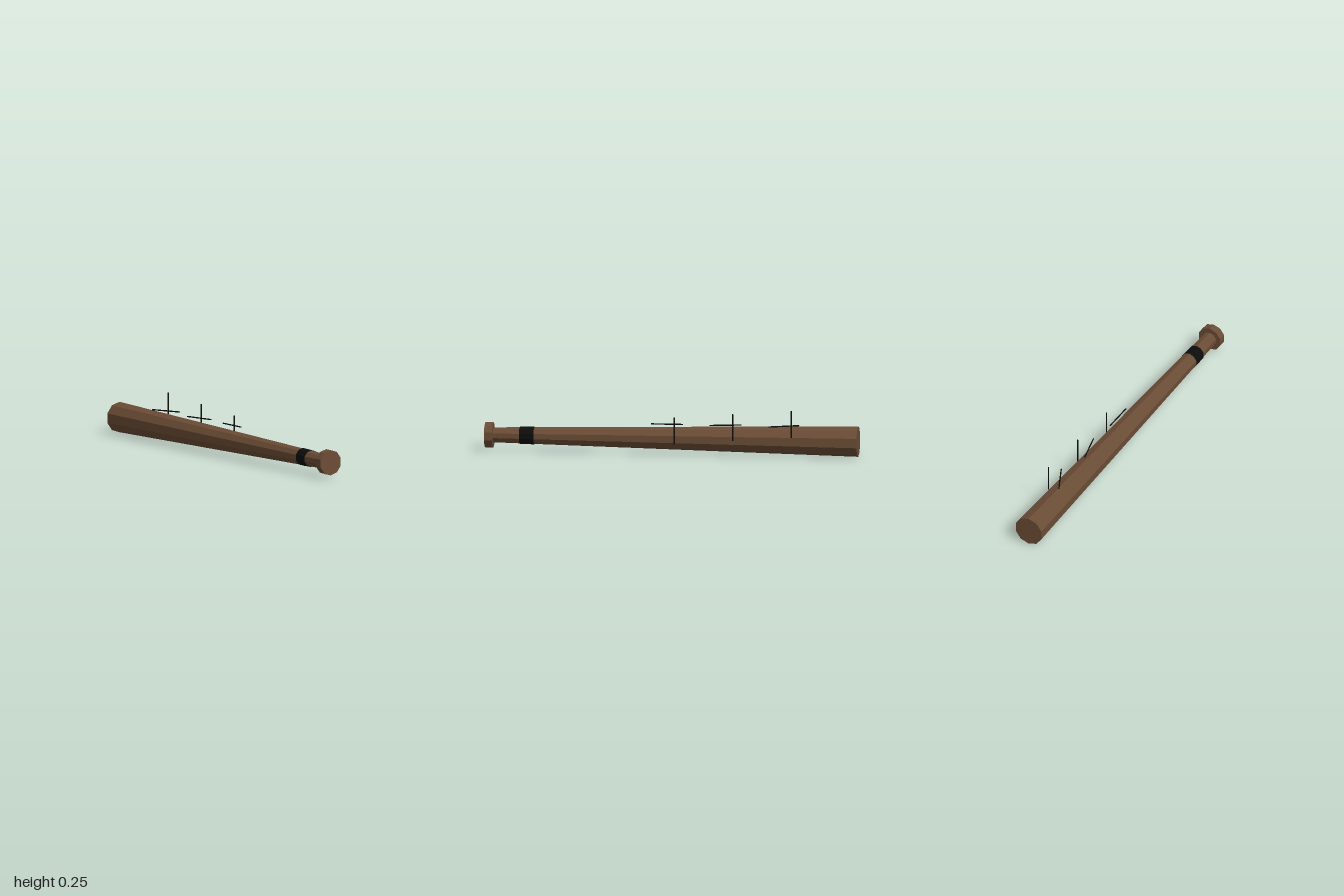
import * as THREE from 'three';

const AXIS_Y = 0.083;

export function createModel() {
  const group = new THREE.Group();
  const wood = new THREE.MeshStandardMaterial({ color: 0x6b4d36, flatShading: true });
  wood.name = 'brown wood';
  const black = new THREE.MeshStandardMaterial({ color: 0x0d0d0d, flatShading: true });
  black.name = 'black';

  // Ten-sided section along z, from the back radius to the front radius
  const section = (name, material, zBack, zFront, rBack, rFront, open = false) => {
    const geo = new THREE.CylinderGeometry(rFront, rBack, zFront - zBack, 10, 1, open);
    geo.rotateX(Math.PI / 2);
    const mesh = new THREE.Mesh(geo, material);
    mesh.name = name;
    mesh.position.set(-0.001, AXIS_Y, (zBack + zFront) / 2);
    group.add(mesh);
  };
  section('batBody', wood, -1, 0.97, 0.082, 0.04);
  section('knob', wood, 0.957, 1, 0.068, 0.068);
  section('gripTape', black, 0.737, 0.815, 0.0475, 0.046);

  // Thin nails: one upright and one lying along the top, in three pairs
  const nail = (name, length, x, y, z) => {
    const mesh = new THREE.Mesh(new THREE.CylinderGeometry(0.0035, 0.0035, length, 8), black);
    mesh.name = name;
    mesh.position.set(x, y, z);
    group.add(mesh);
    return mesh;
  };
  const pairs = [
    { z: -0.023, y: 0.133, angle: 0 },
    { z: -0.336, y: 0.156, angle: 0.235 },
    { z: -0.65, y: 0.178, angle: 0.44 },
  ];
  pairs.forEach(({ z, y, angle }, i) => {
    nail(`uprightNail${i + 1}`, 0.144, 0.0745, y, z);
    const lying = nail(`lyingNail${i + 1}`, 0.17, 0.03, 0.162, z + 0.045);
    lying.geometry.rotateX(Math.PI / 2);
    lying.rotation.y = angle;
  });
  return group;
}
